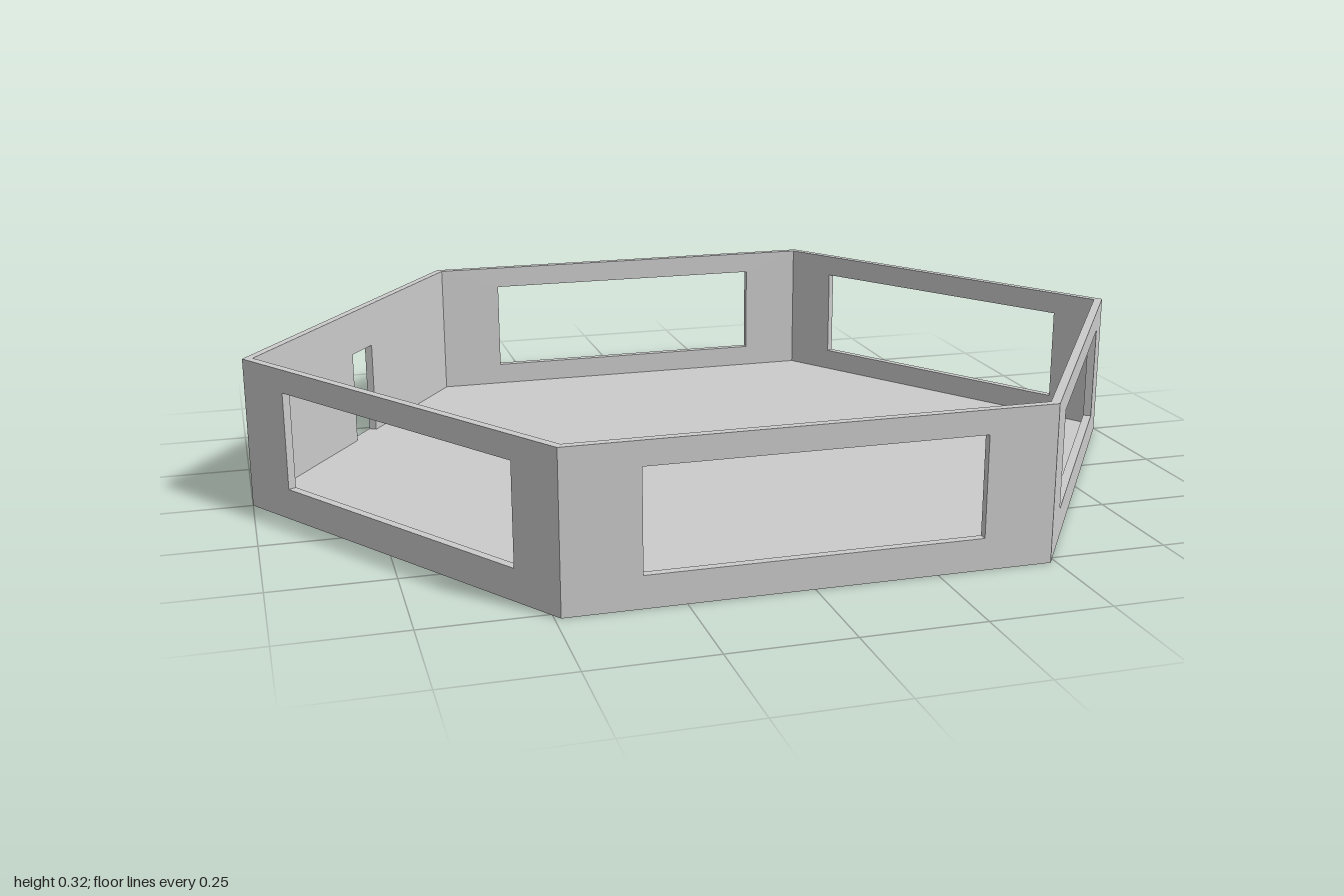
import * as THREE from 'three';

const HEIGHT = 0.325, FLOOR = 0.016, THICK = 0.018;
const SILL = 0.066, LINTEL = 0.275, DOOR_TOP = 0.226;

// Hexagon corners (x, z), counter-clockwise seen from above, starting front right-hand side
const CORNERS = [
  [-0.488, 0.773], [0.488, 0.773], [1, 0],
  [0.488, -0.773], [-0.488, -0.773], [-1, 0],
].map(([x, z]) => new THREE.Vector2(x, z));

// Each wall runs from corner i to i + 1; from/to are fractions of its length
const WALLS = [
  { name: 'frontWall', from: 0.158, to: 0.853 },
  { name: 'frontLeftWall', from: 0.142, to: 0.874 },
  { name: 'backLeftWall', from: 0.126, to: 0.858 },
  { name: 'backWall', from: 0.147, to: 0.842 },
  { name: 'backRightWall', from: 0.433, to: 0.533, door: true },
  { name: 'frontRightWall', from: 0.142, to: 0.87 },
];

const corner = (i) => CORNERS[(i + 6) % 6];

// How far the inner face is cut back at a corner so neighbouring walls meet in a mitre
function mitre(i) {
  const a = corner(i - 1).clone().sub(corner(i));
  const b = corner(i + 1).clone().sub(corner(i));
  const angle = Math.acos(a.dot(b) / (a.length() * b.length()));
  return THICK / Math.tan(angle / 2);
}

function wallGeometry(i, { from, to, door }) {
  const length = corner(i).distanceTo(corner(i + 1));
  const x0 = from * length, x1 = to * length;
  const outline = [[0, FLOOR]];
  // A doorway is a notch reaching down to the floor
  if (door) outline.push([x0, FLOOR], [x0, DOOR_TOP], [x1, DOOR_TOP], [x1, FLOOR]);
  outline.push([length, FLOOR], [length, HEIGHT], [0, HEIGHT]);
  const shape = new THREE.Shape(outline.map(([x, y]) => new THREE.Vector2(x, y)));
  if (!door) {
    shape.holes.push(new THREE.Path(
      [[x0, SILL], [x0, LINTEL], [x1, LINTEL], [x1, SILL]].map(([x, y]) => new THREE.Vector2(x, y)),
    ));
  }
  const geometry = new THREE.ExtrudeGeometry(shape, { depth: THICK, bevelEnabled: false });
  geometry.translate(0, 0, -THICK);

  // Mitre both ends on the inner face
  const p = geometry.attributes.position;
  for (let v = 0; v < p.count; v++) {
    if (p.getZ(v) > -THICK / 2) continue;
    if (p.getX(v) < 1e-4) p.setX(v, mitre(i));
    else if (p.getX(v) > length - 1e-4) p.setX(v, length - mitre(i + 1));
  }
  geometry.computeVertexNormals();
  return geometry;
}

export function createModel() {
  const model = new THREE.Group();
  model.name = 'hexagonalRoom';
  const material = new THREE.MeshStandardMaterial({ color: 0xcccccc, flatShading: true });

  // Floor slab, flush with the outside of the walls
  const slab = new THREE.ExtrudeGeometry(
    new THREE.Shape(CORNERS.map((c) => new THREE.Vector2(c.x, -c.y))),
    { depth: FLOOR, bevelEnabled: false },
  );
  slab.rotateX(-Math.PI / 2);
  const floor = new THREE.Mesh(slab, material);
  floor.name = 'floor';
  model.add(floor);

  // Five windowed walls and one with a doorway
  WALLS.forEach((spec, i) => {
    const a = corner(i), b = corner(i + 1);
    const wall = new THREE.Mesh(wallGeometry(i, spec), material);
    wall.name = spec.name;
    wall.position.set(a.x, 0, a.y);
    wall.rotation.y = Math.atan2(a.y - b.y, b.x - a.x);
    model.add(wall);
  });

  return model;
}
